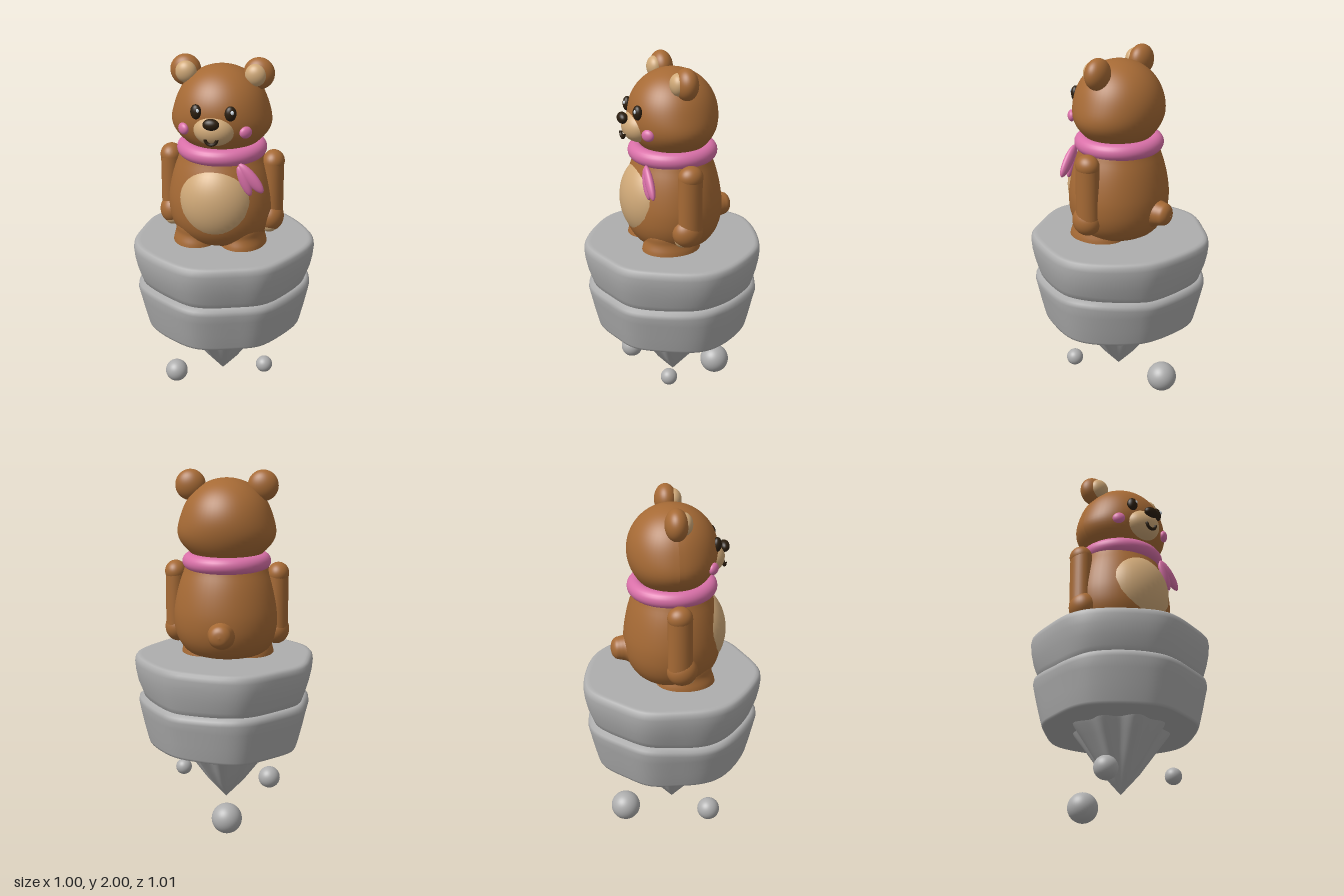
import * as THREE from 'three';

const mat = (name, color) => {
  const m = new THREE.MeshStandardMaterial({ color });
  m.name = name;
  return m;
};

// Outline of the rock seen from above, as [x, z]
const OUTLINE = [
  [0.5, 0], [0.468, -0.16], [0.3, -0.385], [0.19, -0.45], [-0.08, -0.508], [-0.2, -0.485],
  [-0.36, -0.35], [-0.473, -0.215], [-0.5, -0.03], [-0.495, 0.15], [-0.44, 0.27],
  [-0.25, 0.43], [-0.08, 0.5], [0.15, 0.45], [0.3, 0.385], [0.405, 0.24],
];

// Closed skin over rings listed from bottom to top; point(ring, t) gives a position
function loft(rings, segments, point) {
  const pos = [], idx = [], w = segments;
  rings.forEach((ring) => {
    for (let j = 0; j < w; j++) pos.push(...point(ring, j / w));
  });
  for (let i = 0; i < rings.length - 1; i++) {
    for (let j = 0; j < w; j++) {
      const k = (j + 1) % w, a = i * w + j, b = i * w + k;
      idx.push(a, b, b + w, a, b + w, a + w);
    }
  }
  const g = new THREE.BufferGeometry();
  g.setAttribute('position', new THREE.Float32BufferAttribute(pos, 3));
  g.setIndex(idx);
  g.computeVertexNormals();
  return g;
}

export function createModel() {
  const brown = mat('brown fur', 0xa66a35);
  const beige = mat('beige fur', 0xd0a978);
  const pink = mat('pink', 0xd970a8);
  const dark = mat('dark brown', 0x2b1e0f);
  const white = mat('eye shine', 0xd5e0ea);
  const stone = mat('grey stone', 0xaeaeae);

  const model = new THREE.Group();
  const bear = new THREE.Group();
  bear.name = 'bear';
  bear.position.x = -0.018;
  model.add(bear);

  const add = (name, geo, m, parent = bear) => {
    const mesh = new THREE.Mesh(geo, m);
    mesh.name = name;
    parent.add(mesh);
    return mesh;
  };
  const ball = (name, m, [x, y, z], [rx, ry, rz], parent = bear) => {
    const mesh = add(name, new THREE.SphereGeometry(1, 40, 28), m, parent);
    mesh.position.set(x, y, z);
    mesh.scale.set(rx, ry, rz);
    return mesh;
  };
  const lathe = (pts) => new THREE.LatheGeometry(
    new THREE.SplineCurve(pts.map(([r, y]) => new THREE.Vector2(r, y))).getPoints(40), 48);

  // Rock tiers: [scale, y, waviness]
  const curve = new THREE.CatmullRomCurve3(OUTLINE.map(([x, z]) => new THREE.Vector3(x, 0, z)), true);
  const tier = (name, rings) => add(name, loft(rings, 96, ([s, y, wave = 0], t) => {
    const p = curve.getPoint(t), a = t * Math.PI * 2;
    return [p.x * s, y + wave * (Math.sin(3 * a + 1) + 0.6 * Math.sin(5 * a)), p.z * s];
  }), stone, model);
  tier('upperRock', [
    [0, 0.72], [0.87, 0.72, 0.006], [0.9, 0.725, 0.006], [0.925, 0.76, 0.006], [0.965, 0.82],
    [0.99, 0.88], [1, 0.93], [0.992, 0.955], [0.97, 0.968], [0.94, 0.971], [0.92, 0.971], [0, 0.971],
  ]);
  tier('lowerRock', [
    [0, 0.455], [0.83, 0.455], [0.85, 0.457], [0.86, 0.47], [0.9, 0.55], [0.94, 0.64],
    [0.962, 0.69, 0.006], [0.955, 0.715, 0.006], [0.92, 0.73, 0.006], [0.85, 0.735], [0, 0.735],
  ]);

  // Ridged spike hanging below
  const spike = [[0.001, 0.1], [0.045, 0.15], [0.1, 0.215], [0.16, 0.305], [0.215, 0.39], [0.25, 0.44], [0.265, 0.47]];
  add('rockSpike', loft(spike, 108, ([r, y], t) => {
    const a = t * Math.PI * 2;
    const k = r * (1 + 0.07 * Math.sin(9 * a) * Math.min(1, r / 0.2) + 0.04 * Math.sin(4 * a + 2));
    return [-0.015 + k * Math.cos(a), y, -k * Math.sin(a)];
  }), stone, model);

  // Floating pebbles
  [[-0.254, 0.157, 0.18, 0.064], [0.254, 0.225, 0.12, 0.047], [-0.053, 0.085, -0.285, 0.085]]
    .forEach(([x, y, z, r]) => ball('pebble', stone, [x, y, z], [r, r, r], model));

  // Body, belly and tail
  const body = add('body', lathe([
    [0.1, 0.96], [0.2, 0.985], [0.252, 1.04], [0.28, 1.11], [0.288, 1.19],
    [0.281, 1.27], [0.262, 1.36], [0.235, 1.44], [0.2, 1.51], [0.1, 1.56],
  ]), brown);
  body.scale.set(1.03, 1, 0.94);
  ball('belly', beige, [0, 1.235, 0.12], [0.215, 0.238, 0.178]);
  const tail = add('tail', lathe([
    [0.12, 0], [0.095, 0.03], [0.074, 0.06], [0.066, 0.09], [0.058, 0.118], [0.035, 0.137], [0.001, 0.144],
  ]), brown);
  tail.rotation.x = -Math.PI / 2;
  tail.position.set(0, 1.135, -0.2);

  // Head, wider at the cheeks
  const headGeo = new THREE.SphereGeometry(1, 56, 40);
  const hp = headGeo.attributes.position;
  for (let i = 0; i < hp.count; i++) {
    const y = hp.getY(i);
    hp.setX(i, hp.getX(i) * (1 + 0.12 * Math.exp(-(((y + 0.35) / 0.4) ** 2))));
  }
  headGeo.computeVertexNormals();
  const head = add('head', headGeo, brown);
  head.position.set(0, 1.71, 0);
  head.scale.set(0.252, 0.245, 0.245);

  // Snout, nose and mouth
  ball('snout', beige, [0, 1.657, 0.195], [0.112, 0.088, 0.09]);
  ball('nose', dark, [0, 1.708, 0.283], [0.044, 0.031, 0.028]);
  const mouth = add('mouth', new THREE.TorusGeometry(0.031, 0.009, 10, 24, Math.PI), dark);
  mouth.rotation.z = Math.PI;
  mouth.position.set(0, 1.63, 0.284);

  // Parts found on both sides
  for (const s of [-1, 1]) {
    ball('ear', brown, [s * 0.199, 1.915, -0.006], [0.084, 0.085, 0.062]);
    ball('innerEar', beige, [s * 0.188, 1.915, 0.035], [0.058, 0.06, 0.045]);
    ball('eye', dark, [s * 0.092, 1.755, 0.226], [0.031, 0.04, 0.024]).rotation.y = s * 0.35;
    ball('eyeShine', white, [s * 0.092 + 0.013, 1.766, 0.246], [0.009, 0.011, 0.006]);
    ball('cheek', pink, [s * 0.167, 1.65, 0.196], [0.036, 0.032, 0.022]).rotation.y = s * 0.7;

    // Arm, hand and paw pad
    const arm = add('arm', new THREE.CapsuleGeometry(0.062, 0.31, 12, 28), brown);
    arm.position.set(s * 0.285, 1.278, 0.002);
    arm.scale.set(0.95, 1, 1.08);
    ball('shoulder', brown, [s * 0.287, 1.435, 0], [0.06, 0.062, 0.068]);
    ball('hand', brown, [s * 0.278, 1.116, 0.014], [0.073, 0.083, 0.084]);
    ball('pawPad', beige, [s * 0.274, 1.075, 0.04], [0.045, 0.042, 0.045]);

    // Leg flaring at the foot
    const leg = add('leg', lathe([[0.132, 0.965], [0.128, 0.99], [0.118, 1.03], [0.115, 1.08], [0.08, 1.14], [0.001, 1.16]]), brown);
    leg.position.set(s * 0.13, 0, 0.055);
    leg.scale.z = 1.25;
  }

  // Scarf ring with two knotted ends
  const scarf = add('scarf', new THREE.TorusGeometry(0.2, 0.046, 24, 64), pink);
  scarf.rotation.x = Math.PI / 2;
  scarf.position.y = 1.5;
  ball('scarfEnd', pink, [0.198, 1.398, 0.2], [0.034, 0.1, 0.023]).rotation.z = 0.7;
  ball('scarfEnd', pink, [0.163, 1.382, 0.203], [0.028, 0.088, 0.022]).rotation.z = 0.4;

  return model;
}
